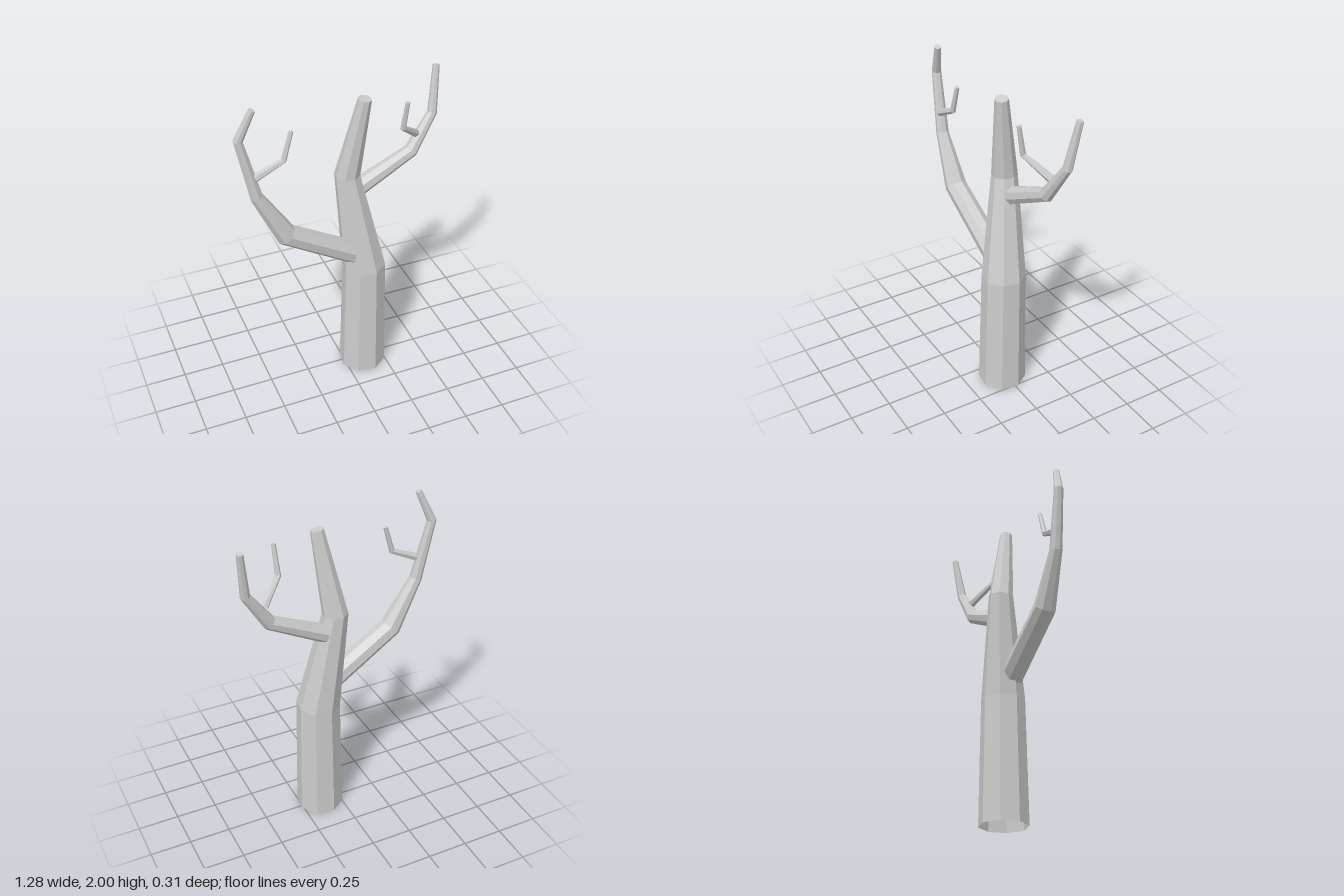
import * as THREE from 'three';

const material = new THREE.MeshStandardMaterial({ color: 0xcccccc, flatShading: true, side: THREE.DoubleSide });

// Faceted, tapering limb through rows of [x, y, z, radius]; open at the start, capped at the tip
function limb(name, rows, sides, startDirection) {
  const points = rows.map(([x, y, z]) => new THREE.Vector3(x, y, z));
  const last = points.length - 1;
  const heading = (i) => points[i + 1].clone().sub(points[i]).normalize();
  const positions = [];
  const index = [];

  points.forEach((p, i) => {
    // Ring plane is mitred between the neighbouring segments
    const t = new THREE.Vector3();
    if (i > 0) t.add(heading(i - 1));
    if (i < last) t.add(heading(i));
    if (i === 0 && startDirection) t.copy(startDirection);
    t.normalize();
    const u = new THREE.Vector3(0, 0, 1).addScaledVector(t, -t.z).normalize();
    const v = new THREE.Vector3().crossVectors(t, u);
    for (let j = 0; j < sides; j++) {
      const a = 0.24 + (j / sides) * Math.PI * 2;
      const q = p.clone()
        .addScaledVector(u, rows[i][3] * Math.cos(a))
        .addScaledVector(v, rows[i][3] * Math.sin(a));
      positions.push(q.x, q.y, q.z);
    }
  });
  positions.push(...points[last].toArray());

  for (let j = 0; j < sides; j++) {
    const k = (j + 1) % sides;
    for (let i = 0; i < last; i++) {
      const a = i * sides + j, b = i * sides + k;
      index.push(a, b, b + sides, a, b + sides, a + sides);
    }
    index.push(points.length * sides, last * sides + j, last * sides + k);
  }

  const indexed = new THREE.BufferGeometry();
  indexed.setAttribute('position', new THREE.Float32BufferAttribute(positions, 3));
  indexed.setIndex(index);
  const geometry = indexed.toNonIndexed();
  geometry.computeVertexNormals();
  const mesh = new THREE.Mesh(geometry, material);
  mesh.name = name;
  return mesh;
}

export function createModel() {
  const tree = new THREE.Group();
  tree.name = 'bareTree';

  // Trunk, flat on the ground
  tree.add(limb('trunk', [
    [0.12, 0, 0.015, 0.146],
    [0.125, 0.765, 0.01, 0.132],
    [0.037, 1.4, -0.045, 0.076],
    [0.113, 1.905, 0.022, 0.039],
  ], 8, new THREE.Vector3(0, 1, 0)));

  // Long branch on the -x side and its twig
  tree.add(limb('rightBranch', [
    [0.06, 0.88, 0.028, 0.07],
    [-0.376, 1.15, 0.048, 0.066],
    [-0.535, 1.445, 0.046, 0.038],
    [-0.614, 1.808, 0.032, 0.028],
    [-0.535, 1.99, 0.06, 0.019],
  ], 8));
  tree.add(limb('rightTwig', [
    [-0.54, 1.575, 0.055, 0.025],
    [-0.375, 1.65, 0.057, 0.018],
    [-0.325, 1.815, 0.052, 0.013],
  ], 6));

  // Higher branch on the +x side and its twig
  tree.add(limb('leftBranch', [
    [0.1, 1.285, -0.05, 0.056],
    [0.445, 1.455, -0.062, 0.043],
    [0.585, 1.665, -0.09, 0.029],
    [0.616, 1.942, -0.133, 0.02],
  ], 8));
  tree.add(limb('leftTwig', [
    [0.475, 1.56, -0.07, 0.025],
    [0.345, 1.675, 0.03, 0.018],
    [0.352, 1.855, 0.063, 0.013],
  ], 6));

  return tree;
}
